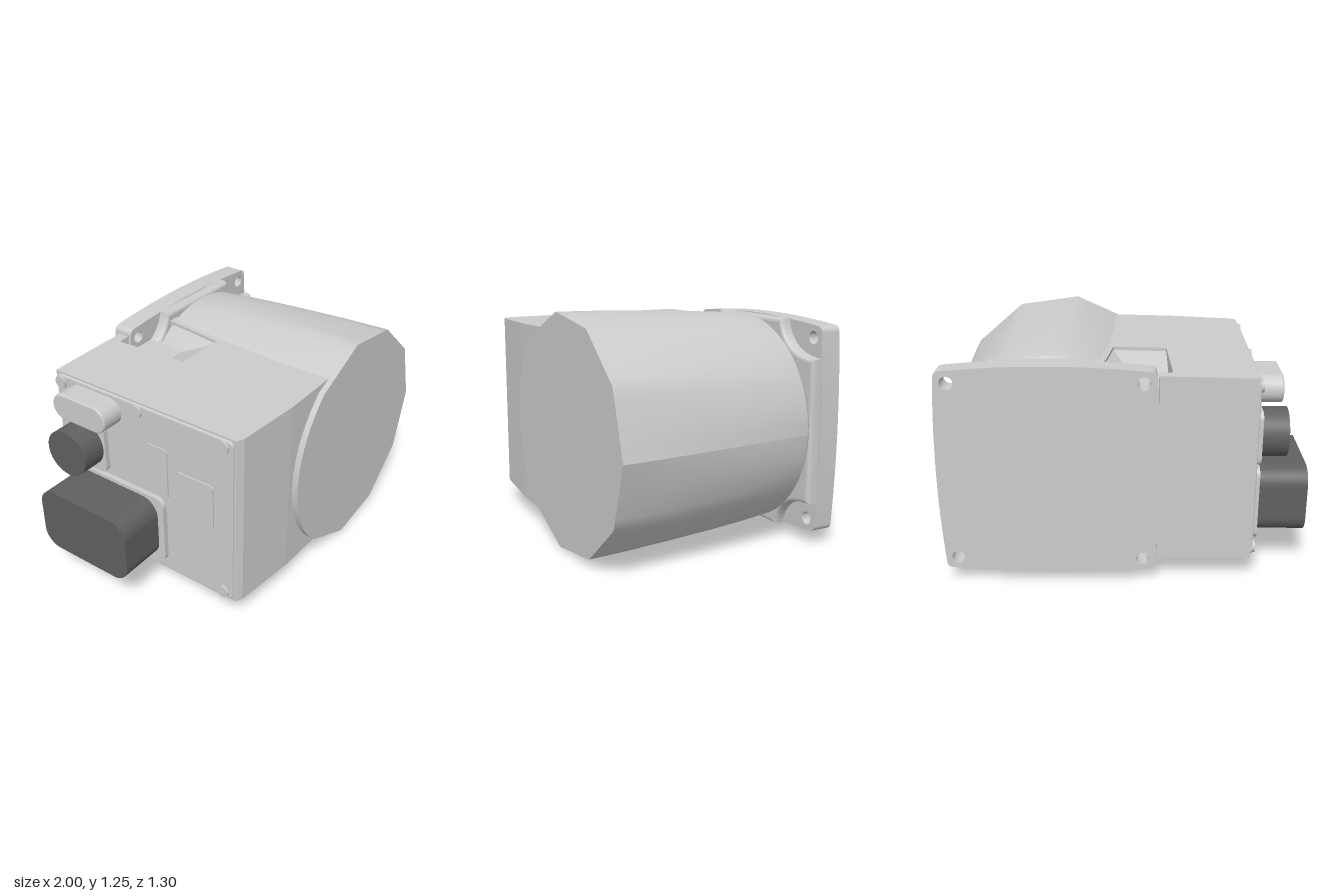
import * as THREE from 'three';

const CX = 0.365, CY = 0.625;
const grey = new THREE.MeshStandardMaterial({ color: 0xcccccc });
const dark = new THREE.MeshStandardMaterial({ color: 0x606060 });

function add(group, name, geometry, material = grey) {
  const mesh = new THREE.Mesh(geometry, material);
  mesh.name = name;
  group.add(mesh);
  return mesh;
}

const polygon = (pts) => new THREE.Shape(pts.map(([x, y]) => new THREE.Vector2(x, y)));

function roundedRect(x0, x1, y0, y1, r) {
  const s = new THREE.Shape();
  s.absarc(x1 - r, y1 - r, r, 0, Math.PI / 2);
  s.absarc(x0 + r, y1 - r, r, Math.PI / 2, Math.PI);
  s.absarc(x0 + r, y0 + r, r, Math.PI, Math.PI * 1.5);
  s.absarc(x1 - r, y0 + r, r, Math.PI * 1.5, Math.PI * 2);
  s.closePath();
  return s;
}

// Extrude a (z, y) outline along x
function extrudeX(shape, x0, x1, bevel = 0) {
  const g = new THREE.ExtrudeGeometry(shape, {
    depth: x1 - x0 - bevel, bevelEnabled: bevel > 0, bevelSize: bevel, bevelThickness: bevel,
    bevelOffset: -bevel, bevelSegments: 3, curveSegments: 10,
  });
  return g.rotateY(-Math.PI / 2).translate(x1, 0, 0);
}

// Extrude an (x, -z) outline upwards from y0 to y1
function extrudeY(pts, y0, y1) {
  const g = new THREE.ExtrudeGeometry(polygon(pts.map(([x, z]) => [x, -z])), { depth: y1 - y0, bevelEnabled: false });
  return g.rotateX(-Math.PI / 2).translate(0, y0, 0);
}

// The housing grows slightly taller towards the barrel
function taper(g) {
  const p = g.attributes.position;
  for (let i = 0; i < p.count; i++) {
    p.setY(i, CY + (p.getY(i) - CY) * (1 + 0.04 * (p.getX(i) + 0.7)));
  }
  g.computeVertexNormals();
  return g;
}

// Barrel: round at the rear, easing into a coarse polygon at the front
function barrelGeometry() {
  const rings = [[0.645, 0.633, 1], [0.4, 0.627, 0.6], [0.15, 0.616, 0.4], [-0.1, 0.603, 0.2],
    [-0.3, 0.589, 0.1], [-0.455, 0.575, 0], [-0.475, 0.56, 0], [-0.49, 0.53, 0], [-0.55, 0.52, 0]];
  const n = 66, step = 6, pos = [], idx = [];
  for (const [z, r, w] of rings) {
    for (let i = 0; i <= n; i++) {
      const k = i > n / 2 ? n - i : i;
      const local = ((k % step) / step - 0.5) * (Math.PI * 2 / 11);
      const flat = k <= 24 ? Math.cos(Math.PI / 11) / Math.cos(local) : 1;
      const rr = r * (1 + (flat - 1) * w), a = i / n * Math.PI * 2;
      pos.push(CX + rr * Math.cos(a), CY + rr * Math.sin(a), z);
    }
  }
  const row = n + 1;
  for (let j = 0; j < rings.length - 1; j++) {
    for (let i = 0; i < n; i++) {
      const a = j * row + i, b = a + 1, c = a + row, d = c + 1;
      idx.push(a, c, b, b, c, d);
    }
  }
  // Flat front face with its own corners
  const start = pos.length / 3;
  for (let i = 0; i < row * 3; i++) pos.push(pos[i]);
  const centre = pos.length / 3;
  pos.push(CX, CY, 0.645);
  for (let i = 0; i < n; i++) idx.push(centre, start + i, start + i + 1);
  const g = new THREE.BufferGeometry();
  g.setAttribute('position', new THREE.Float32BufferAttribute(pos, 3));
  g.setIndex(idx);
  g.computeVertexNormals();
  return g;
}

// Bowed mounting plate with four bolt holes
function flangeGeometry() {
  const w = 0.555, h = 0.55, r = 0.04, s = new THREE.Shape();
  s.moveTo(CX - w + r, CY - h);
  s.quadraticCurveTo(CX, CY - h - 0.05, CX + w - r, CY - h);
  s.quadraticCurveTo(CX + w, CY - h, CX + w, CY - h + r);
  s.quadraticCurveTo(CX + w + 0.04, CY, CX + w, CY + h - r);
  s.quadraticCurveTo(CX + w, CY + h, CX + w - r, CY + h);
  s.quadraticCurveTo(CX, CY + h + 0.05, CX - w + r, CY + h);
  s.quadraticCurveTo(CX - w, CY + h, CX - w, CY + h - r);
  s.quadraticCurveTo(CX - w - 0.04, CY, CX - w, CY - h + r);
  s.quadraticCurveTo(CX - w, CY - h, CX - w + r, CY - h);
  for (const sx of [-1, 1]) for (const sy of [-1, 1]) {
    const hole = new THREE.Path();
    hole.absarc(CX + sx * 0.49, CY + sy * 0.487, 0.035, 0, Math.PI * 2, true);
    s.holes.push(hole);
  }
  return new THREE.ExtrudeGeometry(s, { depth: 0.115, bevelEnabled: false, curveSegments: 16 }).translate(0, 0, -0.655);
}

// Collar in front of the plate, scooped out around each bolt
function collarGeometry() {
  const a = 0.565, b = 0.57, px = 0.29, py = 0.385, s = new THREE.Shape();
  s.moveTo(CX + a, CY - py);
  s.lineTo(CX + a, CY + py);
  s.quadraticCurveTo(CX + px + 0.04, CY + py, CX + px, CY + b);
  s.lineTo(CX - px, CY + b);
  s.quadraticCurveTo(CX - px - 0.04, CY + py, CX - a, CY + py);
  s.lineTo(CX - a, CY - py);
  s.quadraticCurveTo(CX - px - 0.04, CY - py, CX - px, CY - b);
  s.lineTo(CX + px, CY - b);
  s.quadraticCurveTo(CX + px + 0.04, CY - py, CX + a, CY - py);
  return new THREE.ExtrudeGeometry(s, {
    depth: 0.04, bevelEnabled: true, bevelThickness: 0.025, bevelSize: 0.02, bevelOffset: -0.02, bevelSegments: 3,
  }).translate(0, 0, -0.545);
}

export function createModel() {
  const model = new THREE.Group();
  model.name = 'motorUnit';

  add(model, 'barrel', barrelGeometry());
  add(model, 'mountingFlange', flangeGeometry());
  add(model, 'flangeCollar', collarGeometry());

  // Side housing: solid middle, notched layers above and below for bolt access
  const housing = new THREE.Group();
  housing.name = 'housing';
  model.add(housing);
  const front = [[-0.7, 0.555], [-0.66, 0.575], [-0.3, 0.61], [0.15, 0.615]];
  const full = [...front, [0.15, -0.55], [-0.2, -0.55], [-0.2, -0.615], [-0.7, -0.615]];
  const notched = [...front, [0.15, -0.55], [0.1, -0.55], [0.04, -0.11], [-0.25, -0.11],
    [-0.27, -0.55], [-0.2, -0.55], [-0.2, -0.615], [-0.7, -0.615]];
  add(housing, 'housingCore', taper(extrudeY(full, 0.21, 1.04)));
  for (const [y0, y1] of [[1.04, 1.13], [0.12, 0.21]]) {
    add(housing, 'notchedLayer', taper(extrudeY(notched, y0, y1)));
  }
  const rampTop = [[-0.3, 1.04], [-0.1, 1.04], [-0.1, 1.115], [-0.15, 1.1]];
  const rampBottom = rampTop.map(([z, y]) => [z, 2 * CY - y]).reverse();
  for (const pts of [rampTop, rampBottom]) {
    add(housing, 'pocketRamp', taper(extrudeX(polygon(pts), -0.255, 0.06)));
  }

  // End cover with seam, raised panels and screws
  const end = new THREE.Group();
  end.name = 'endCover';
  model.add(end);
  add(end, 'coverPlate', extrudeX(roundedRect(-0.605, 0.545, 0.13, 1.12, 0.03), -0.712, -0.69, 0.008));
  for (const [z0, z1, y0, y1] of [[0.0, 0.14, 0.62, 0.92], [0.2, 0.43, 0.55, 0.82]]) {
    add(end, 'raisedPanel', extrudeX(roundedRect(z0, z1, y0, y1, 0.02), -0.72, -0.7));
  }
  for (const z of [-0.57, -0.05, 0.49]) for (const y of [0.17, 1.08]) {
    const screw = add(end, 'coverScrew', new THREE.CylinderGeometry(0.035, 0.035, 0.03, 20));
    screw.rotation.z = Math.PI / 2;
    screw.position.set(-0.71, y, z);
  }

  // Connectors on the end cover
  const connectors = new THREE.Group();
  connectors.name = 'connectors';
  model.add(connectors);
  add(connectors, 'largeBase', extrudeX(roundedRect(-0.54, 0.12, 0.19, 0.605, 0.05), -0.74, -0.7));
  add(connectors, 'largeConnector', extrudeX(roundedRect(-0.515, 0.08, 0.21, 0.585, 0.1), -1, -0.73), dark);
  add(connectors, 'roundBase', extrudeX(roundedRect(-0.55, -0.265, 0.625, 0.92, 0.04), -0.74, -0.7));
  add(connectors, 'roundConnector', extrudeX(roundedRect(-0.542, -0.278, 0.64, 0.904, 0.131), -0.88, -0.73), dark);
  add(connectors, 'smallConnector', extrudeX(roundedRect(-0.515, -0.155, 0.95, 1.1, 0.074), -0.84, -0.7, 0.01));

  return model;
}
